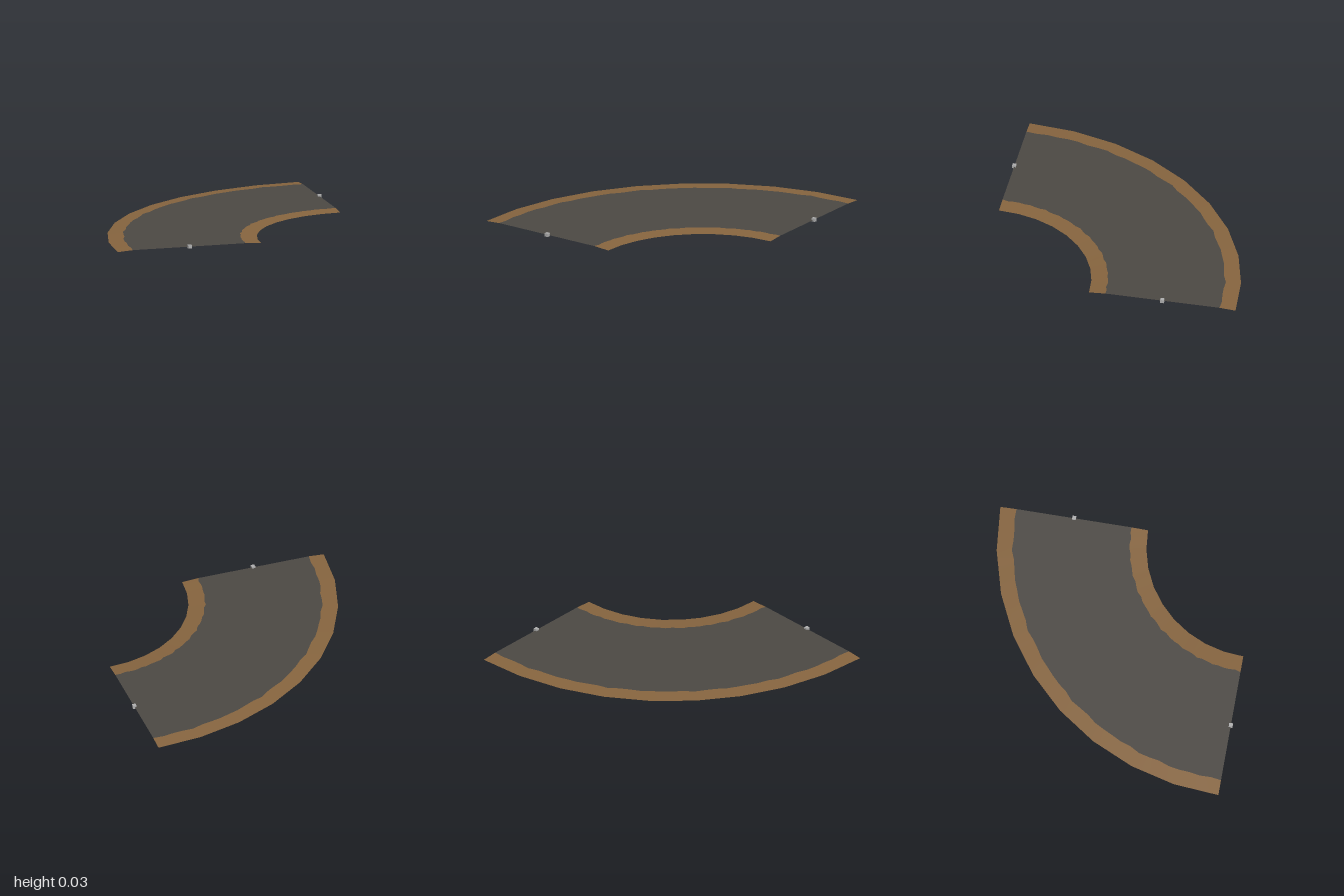
import * as THREE from 'three';

const CENTRE = 0.985;        // arc centre on x and z
const SEGMENTS = 9, SUB = 4; // ten-degree facets, subdivided for the ragged tarmac edge
const STEP = Math.PI / 2 / SEGMENTS;

// Point at step i of the quarter turn, lying on the straight chord of its facet
function arcPoint(i, radius, y) {
  const angle = (i / SUB) * STEP;
  const local = ((i % SUB) / SUB - 0.5) * STEP;
  const r = radius * Math.cos(STEP / 2) / Math.cos(local);
  return [CENTRE - r * Math.sin(angle), y, CENTRE - r * Math.cos(angle)];
}

// Curved strip between two edges, each given as [radius, height] at step i
function strip(name, inner, outer, material) {
  const positions = [], index = [];
  for (let i = 0; i <= SEGMENTS * SUB; i++) {
    positions.push(...arcPoint(i, ...inner(i)), ...arcPoint(i, ...outer(i)));
    if (i < SEGMENTS * SUB) {
      const a = i * 2;
      index.push(a, a + 1, a + 3, a, a + 3, a + 2);
    }
  }
  const geometry = new THREE.BufferGeometry();
  geometry.setAttribute('position', new THREE.Float32BufferAttribute(positions, 3));
  geometry.setIndex(index);
  geometry.computeVertexNormals();
  const mesh = new THREE.Mesh(geometry, material);
  mesh.name = name;
  return mesh;
}

export function createModel() {
  const group = new THREE.Group();
  group.name = 'curvedRoad';

  const tarmac = new THREE.MeshStandardMaterial({ color: 0x4c4944, side: THREE.DoubleSide });
  tarmac.name = 'tarmac';
  const dirt = new THREE.MeshStandardMaterial({ color: 0x87653f, side: THREE.DoubleSide });
  dirt.name = 'dirt';
  const grey = new THREE.MeshStandardMaterial({ color: 0xb0b0b0 });
  grey.name = 'lightGrey';

  // Edges of the cross-section, from the inside of the bend outwards
  const ragged = (i) => 0.005 * Math.sin(i * 2.3);
  const innerVerge = () => [0.868, 0.004];
  const innerRoad = (i) => [0.993 + ragged(i), 0.012];
  const outerRoad = (i) => [1.867 + ragged(i + 5), 0.012];
  const outerVerge = () => [1.985, 0.004];

  group.add(
    strip('innerVerge', innerVerge, innerRoad, dirt),
    strip('roadSurface', innerRoad, outerRoad, tarmac),
    strip('outerVerge', outerRoad, outerVerge, dirt)
  );

  // Small connector blocks at the middle of each road end
  const block = new THREE.BoxGeometry(0.028, 0.026, 0.028);
  for (const [name, x, z] of [['backConnector', CENTRE, -0.442], ['frontConnector', -0.442, CENTRE]]) {
    const connector = new THREE.Mesh(block, grey);
    connector.name = name;
    connector.position.set(x, 0.013, z);
    group.add(connector);
  }
  return group;
}
